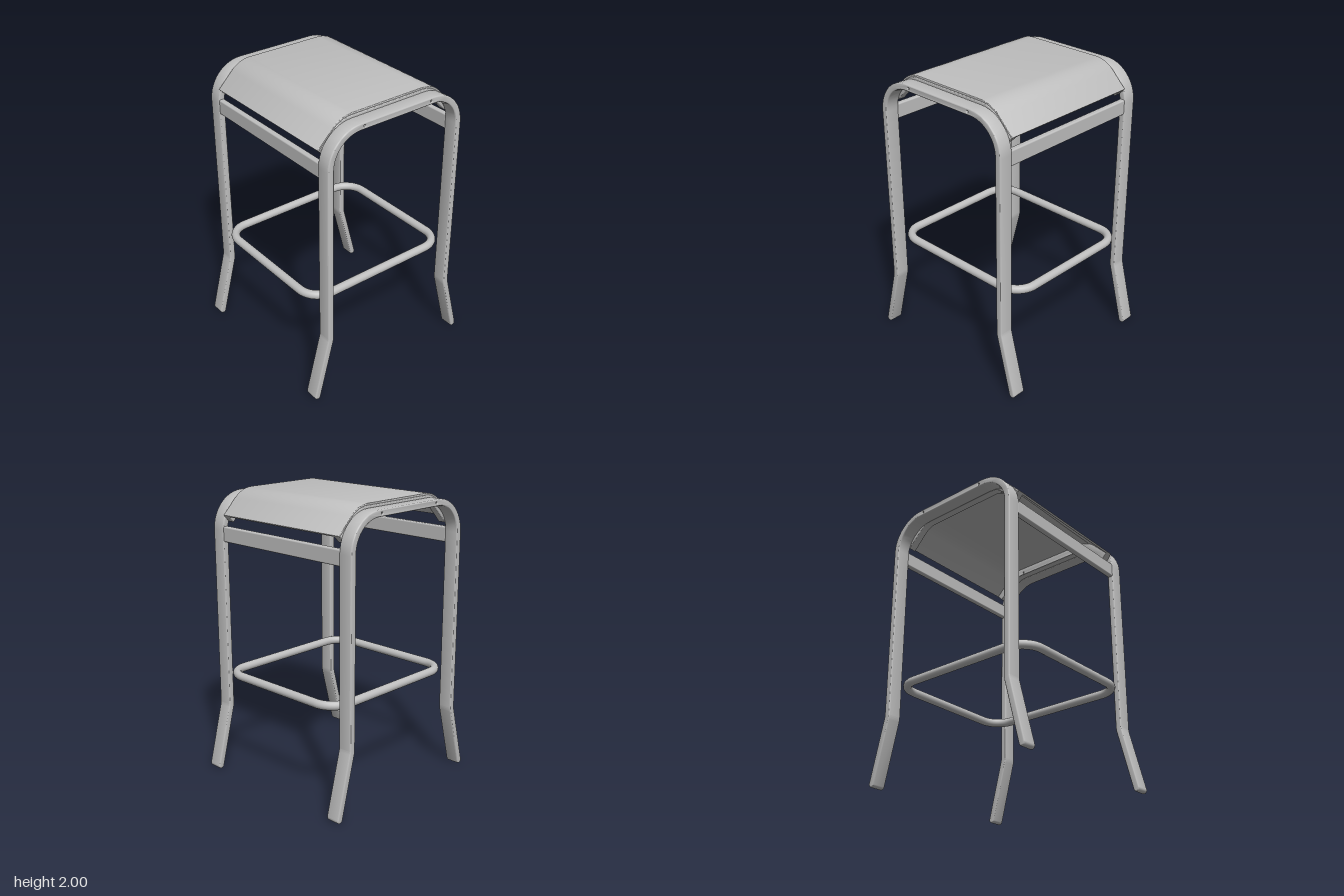
import * as THREE from 'three';
import { toCreasedNormals } from 'three/addons/utils/BufferGeometryUtils.js';
import { RoundedBoxGeometry } from 'three/addons/geometries/RoundedBoxGeometry.js';

const metal = new THREE.MeshStandardMaterial({ color: 0xbfbfbf });
metal.name = 'satin grey';

const v2 = (z, y) => new THREE.Vector2(z, y);

// Polyline in (z, y) with its corners rounded; radii[i] belongs to pts[i]
function fillet(pts, radii, steps = 12) {
  const out = [pts[0].clone()];
  for (let i = 1; i < pts.length - 1; i++) {
    const p = pts[i];
    const a = pts[i - 1].clone().sub(p).normalize();
    const b = pts[i + 1].clone().sub(p).normalize();
    const half = Math.acos(a.dot(b)) / 2;
    const r = radii[i];
    const centre = a.clone().add(b).normalize().multiplyScalar(r / Math.sin(half)).add(p);
    const start = p.clone().addScaledVector(a, r / Math.tan(half)).sub(centre);
    const end = p.clone().addScaledVector(b, r / Math.tan(half)).sub(centre);
    const sweep = Math.atan2(start.cross(end), start.dot(end));
    for (let k = 0; k <= steps; k++) {
      out.push(start.clone().rotateAround(v2(0, 0), (sweep * k) / steps).add(centre));
    }
  }
  out.push(pts[pts.length - 1].clone());
  return out;
}

// Full symmetric path from a front half
function mirrored(half, radii) {
  const back = half.map((p) => v2(-p.x, p.y)).reverse();
  return fillet([...half, ...back], [...radii, ...radii.slice().reverse()]);
}

// Band between two outward offsets of a path, optionally with round ends
function band(path, outer, inner, roundEnds) {
  const normals = path.map((p, i) => {
    const d = path[Math.min(i + 1, path.length - 1)].clone().sub(path[Math.max(i - 1, 0)]).normalize();
    return v2(d.y, -d.x);
  });
  const side = (off) => path.map((p, i) => p.clone().addScaledVector(normals[i], off));
  const cap = (i) => {
    const pts = [];
    if (!roundEnds) return pts;
    const mid = path[i].clone().addScaledVector(normals[i], (outer + inner) / 2);
    const arm = normals[i].clone().multiplyScalar(((outer - inner) / 2) * (i ? 1 : -1));
    for (let k = 1; k < 8; k++) pts.push(arm.clone().rotateAround(v2(0, 0), (k * Math.PI) / 8).add(mid));
    return pts;
  };
  const last = path.length - 1;
  return new THREE.Shape([...side(outer), ...cap(last), ...side(inner).reverse(), ...cap(0)]);
}

// Extrude a (z, y) outline across x, centred, with softened edges
function across(shape, width, bevel) {
  const g = new THREE.ExtrudeGeometry(shape, {
    depth: width - 2 * bevel, bevelEnabled: true, bevelThickness: bevel,
    bevelSize: bevel, bevelOffset: -bevel, bevelSegments: 3, curveSegments: 6,
  });
  g.translate(0, 0, -(width - 2 * bevel) / 2);
  g.rotateY(-Math.PI / 2);
  return toCreasedNormals(g, 0.6);
}

// Screw holes through the top of the frames and rails
function addHoles(shape, r) {
  for (const s of [1, -1]) {
    const hole = new THREE.Path();
    hole.absarc(s * 0.265, 1.95, r, 0, Math.PI * 2, true);
    shape.holes.push(hole);
  }
  return shape;
}

export function createModel() {
  const root = new THREE.Group();
  root.name = 'barStool';
  const add = (name, geometry, x = 0, y = 0, z = 0) => {
    const m = new THREE.Mesh(geometry, metal);
    m.name = name;
    m.position.set(x, y, z);
    root.add(m);
  };

  // Side frames: one bent flat bar makes a front leg, top and back leg
  const framePath = mirrored([v2(0.63, 0.0225), v2(0.517, 0.46), v2(0.517, 1.95)], [0, 0.15, 0.225]);
  const frame = across(addHoles(band(framePath, 0.0225, -0.0225, true), 0.006), 0.1, 0.008);
  add('leftSideFrame', frame, 0.59);
  add('rightSideFrame', frame, -0.59);

  // Sling seat and the curved rails that carry it
  const seatPath = mirrored([v2(0.538, 1.832), v2(0.37, 2.0)], [0, 0.21]);
  add('seat', across(band(seatPath, 0, -0.014, false), 1.07, 0.004));
  const rail = across(addHoles(band(seatPath, -0.012, -0.068, false), 0.006), 0.055, 0.005);
  add('leftSeatRail', rail, 0.5125);
  add('rightSeatRail', rail, -0.5125);

  // Cross bars between the legs below the seat
  const bar = new RoundedBoxGeometry(1.09, 0.105, 0.04, 3, 0.01);
  add('frontCrossBar', bar, 0, 1.7, 0.517);
  add('backCrossBar', bar, 0, 1.7, -0.517);

  // Footrest: a closed round tube with rounded corners
  const X = 0.51, Z = 0.563, R = 0.15, K = R * 0.4477;
  const v3 = (x, z) => new THREE.Vector3(x, 0, z);
  const loop = new THREE.CurvePath();
  const corners = [[1, 1], [1, -1], [-1, -1], [-1, 1]];
  corners.forEach(([sx, sz], i) => {
    const alongX = [0, 1, 2, 3].map((k) => v3(sx * (X - [R, K, 0, 0][k]), sz * (Z - [0, 0, K, R][k])));
    if (sx !== sz) alongX.reverse();
    const [nx, nz] = corners[(i + 1) % 4];
    const next = nx !== nz ? v3(nx * X, nz * (Z - R)) : v3(nx * (X - R), nz * Z);
    loop.add(new THREE.CubicBezierCurve3(...alongX));
    loop.add(new THREE.LineCurve3(alongX[3], next));
  });
  add('footrestRing', new THREE.TubeGeometry(loop, 160, 0.03, 16, true), 0, 0.73, 0);

  return root;
}
